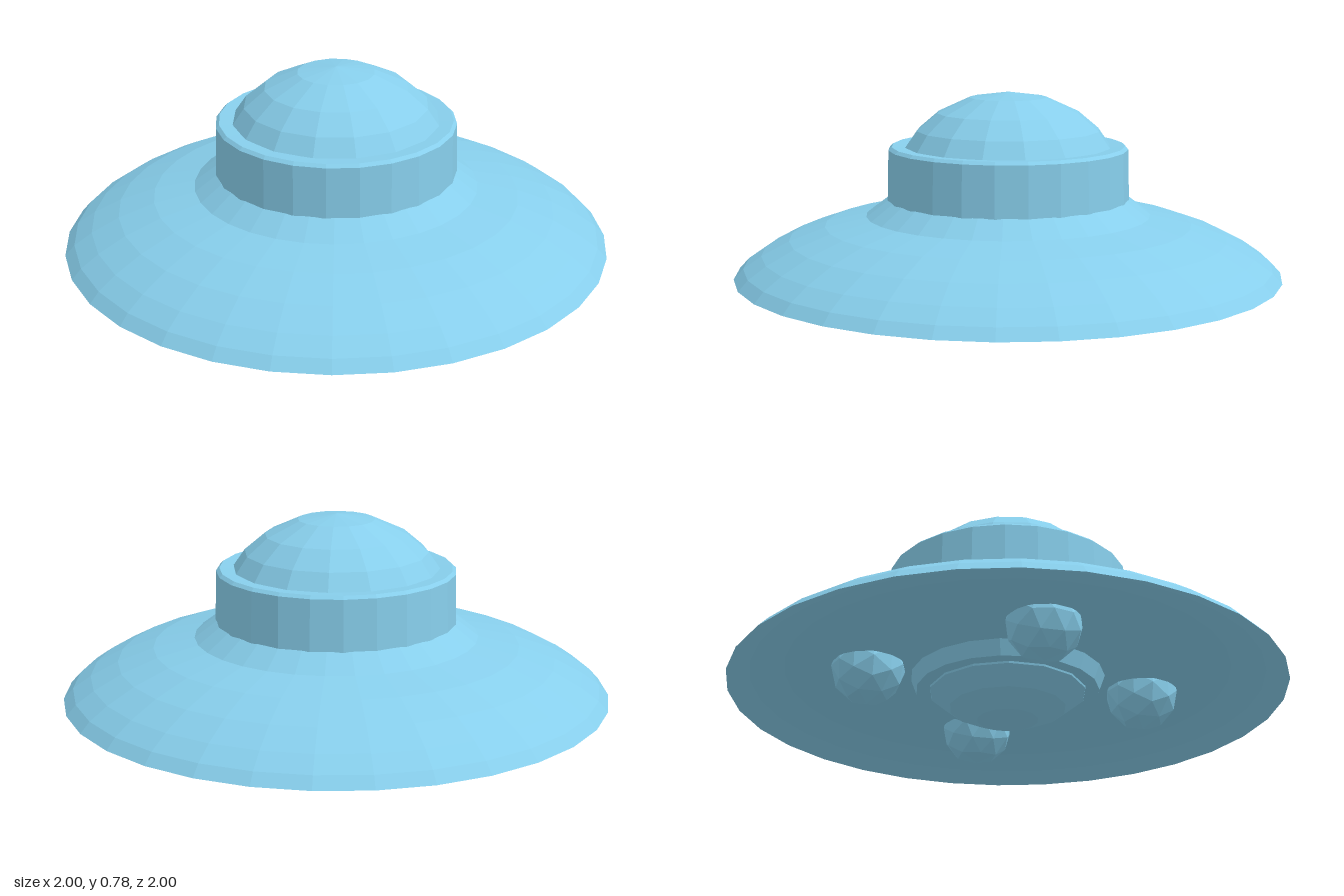
import * as THREE from 'three';

const skin = new THREE.MeshStandardMaterial({ color: 0x87ceeb, flatShading: true });

// Turned part from [radius, height] pairs, listed from bottom to top
function turned(name, profile, sides) {
  const points = profile.map(([r, y]) => new THREE.Vector2(r, y));
  const mesh = new THREE.Mesh(new THREE.LatheGeometry(points, sides), skin);
  mesh.name = name;
  return mesh;
}

export function createModel() {
  const ship = new THREE.Group();
  ship.name = 'flyingSaucer';

  // Wide hull with a recessed flat underside and a sloping neck
  ship.add(turned('hull', [
    [0, 0.18], [0.8, 0.18], [0.92, 0.15], [1, 0.115],
    [0.965, 0.153], [0.9, 0.198], [0.8, 0.25], [0.67, 0.297], [0.52, 0.33],
    [0.44, 0.39], [0, 0.39],
  ], 32));

  // Upright band around the cabin
  ship.add(turned('cabinBand', [
    [0, 0.385], [0.442, 0.388], [0.437, 0.572], [0.425, 0.583], [0.37, 0.58], [0, 0.58],
  ], 24));

  // Cabin dome
  ship.add(turned('cabinDome', [
    [0.378, 0.578], [0.335, 0.64], [0.26, 0.703], [0.14, 0.758], [0, 0.778],
  ], 16));

  // Collar and shallow dome below the hull
  ship.add(turned('lowerCollar', [
    [0, 0.125], [0.33, 0.125], [0.352, 0.185],
  ], 20));
  ship.add(turned('lowerDome', [
    [0, 0], [0.11, 0.018], [0.21, 0.062], [0.282, 0.118], [0.285, 0.13],
  ], 14));

  // Four landing balls in a cross
  for (let i = 0; i < 4; i++) {
    const a = i * Math.PI / 2;
    const ball = new THREE.Mesh(new THREE.IcosahedronGeometry(0.132, 1), skin);
    ball.name = 'landingBall';
    ball.position.set(0.507 * Math.cos(a), 0.165, 0.507 * Math.sin(a));
    ball.rotation.y = a;
    ship.add(ball);
  }
  return ship;
}
